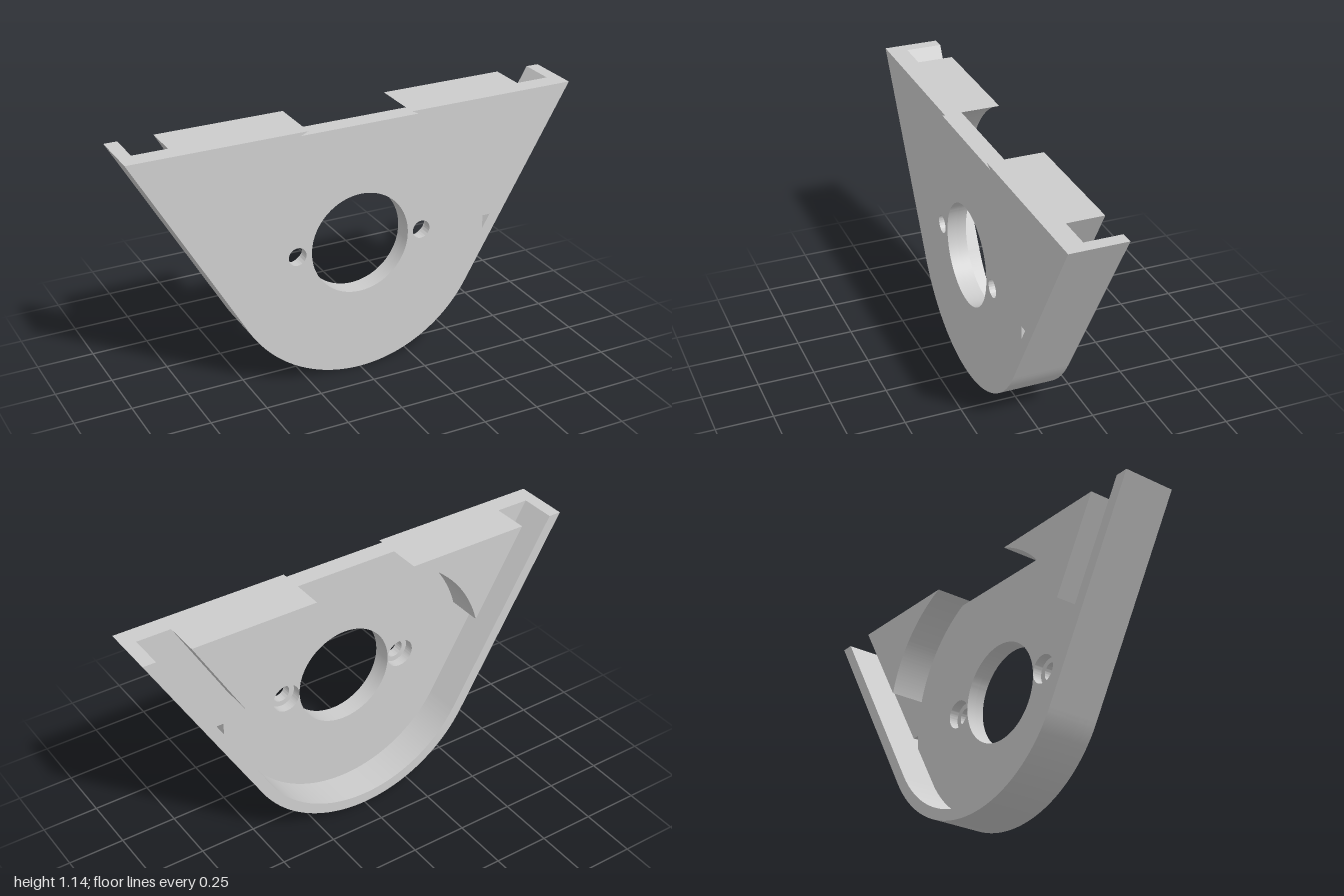
import * as THREE from 'three';
import { toCreasedNormals } from 'three/addons/utils/BufferGeometryUtils.js';

const TOP = 1.14, R = 0.594, WALL = 0.049, SLOT = 0.13; // R is also the height of the centre
const BACK = -0.122, FLOOR = 0.037, STEP = 0.08, FRONT = 0.122;
const TILT = Math.PI / 6;

// x on the sloping side line that lies at distance d from the centre
const sideX = (d, y) => (d + (y - R) * Math.sin(TILT)) / Math.cos(TILT);
// x on the relief circle at height y
const circleX = (y) => Math.sqrt(R * R - (y - R) ** 2);

function circle(x, r) {
  return new THREE.Path().absarc(x, R, r, 0, Math.PI * 2, true);
}

// Starts a shape with the outer edge: left corner, round the bottom, right corner
function outerEdge() {
  const s = new THREE.Shape();
  s.moveTo(-sideX(R, TOP), TOP);
  s.lineTo(-R * Math.cos(TILT), R - R * Math.sin(TILT));
  s.absarc(0, R, R, Math.PI + TILT, 2 * Math.PI - TILT, false);
  s.lineTo(sideX(R, TOP), TOP);
  return s;
}

export function createModel() {
  const group = new THREE.Group();
  const grey = new THREE.MeshStandardMaterial({ color: 0xcccccc });
  grey.name = 'grey';

  function slab(name, shape, z0, z1) {
    const flat = new THREE.ExtrudeGeometry(shape, { depth: z1 - z0, bevelEnabled: false, curveSegments: 64 });
    flat.translate(0, 0, z0);
    const mesh = new THREE.Mesh(toCreasedNormals(flat, 0.4), grey);
    mesh.name = name;
    group.add(mesh);
  }

  // Front plate in two layers, so the screw holes are counterbored from behind
  function plateShape(screwRadius) {
    const low = 1.125;
    const s = outerEdge();
    s.lineTo(circleX(TOP), TOP);
    s.lineTo(circleX(low), low);
    s.lineTo(-circleX(low), low);
    s.lineTo(-circleX(TOP), TOP);
    s.closePath();
    s.holes.push(circle(0, 0.225));
    for (const side of [-1, 1]) s.holes.push(circle(side * 0.29, screwRadius));
    // small triangular opening beside the wall
    const inner = R - WALL;
    const t = new THREE.Path();
    t.moveTo(R, R);
    t.lineTo(sideX(inner, R), R);
    t.lineTo(R, R + (R * Math.cos(TILT) - inner) / Math.sin(TILT));
    t.closePath();
    s.holes.push(t);
    return s;
  }
  slab('frontPlate', plateShape(0.04), STEP, FRONT);
  slab('counterborePlate', plateShape(0.064), FLOOR, STEP);

  // Wall along both sides and round the bottom
  const wall = outerEdge();
  wall.lineTo(sideX(R - WALL, TOP), TOP);
  wall.absarc(0, R, R - WALL, -TILT, -Math.PI + TILT, true);
  wall.lineTo(-sideX(R - WALL, TOP), TOP);
  wall.closePath();
  slab('rimWall', wall, BACK, FLOOR);

  // Corner blocks: cut by the relief circle inside and by a slot outside
  const d = R - WALL - SLOT;
  const start = Math.atan2(TOP - R, circleX(TOP));
  const tip = Math.acos(d / R) - TILT;
  for (const side of [1, -1]) {
    const block = new THREE.Shape();
    block.moveTo(side * sideX(d, TOP), TOP);
    block.lineTo(side * circleX(TOP), TOP);
    if (side > 0) block.absarc(0, R, R, start, tip, true);
    else block.absarc(0, R, R, Math.PI - start, Math.PI - tip, false);
    block.closePath();
    slab(side > 0 ? 'leftCornerBlock' : 'rightCornerBlock', block, BACK, FLOOR);
  }
  return group;
}
